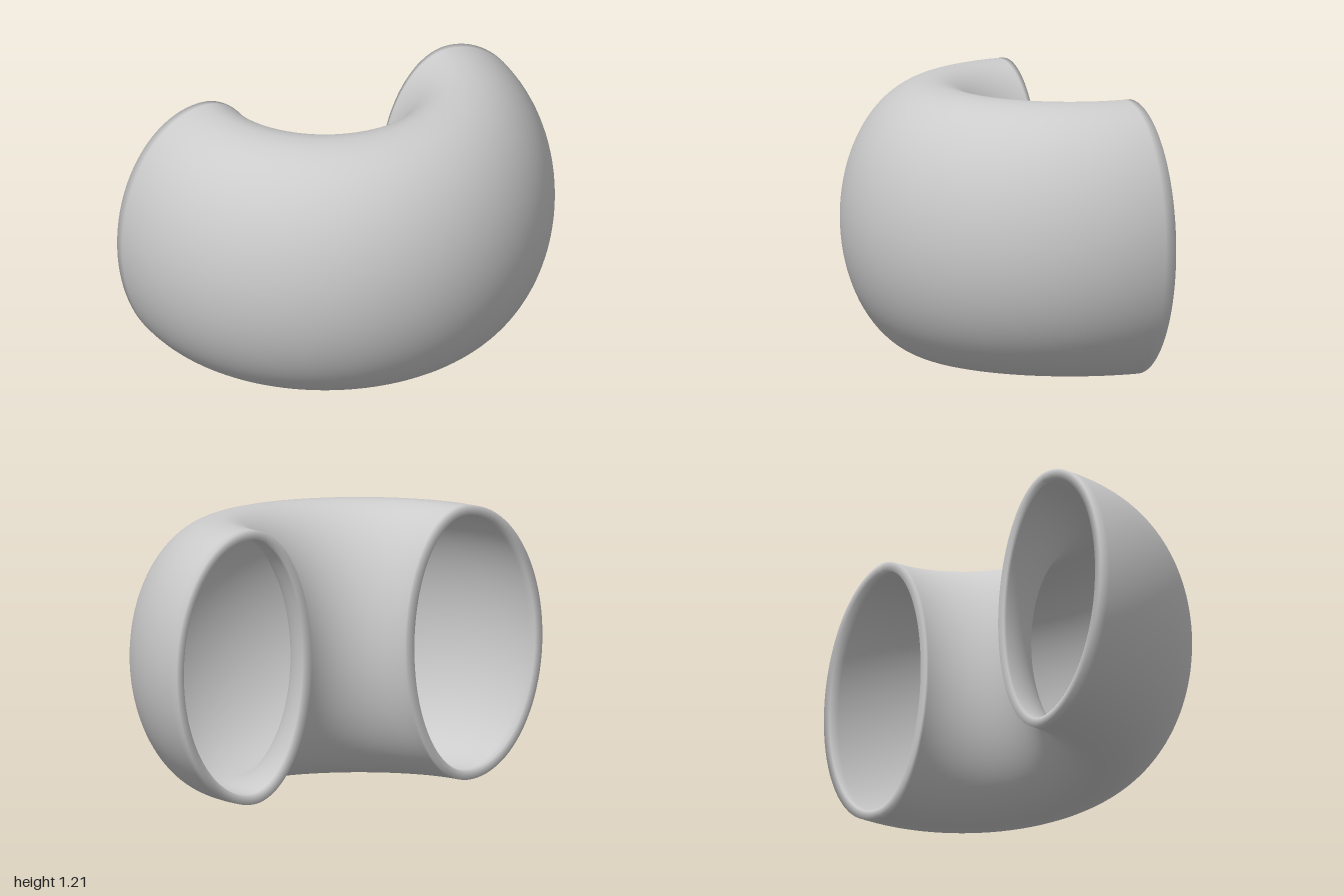
import * as THREE from 'three';

// Half-ring hollow tube: an egg-shaped section swept through 180 degrees
const SIDES = 96, STEPS = 64, WALL = 0.04;
const CENTRE = 0.59, OUT = 0.41, IN = 0.33, HALF_HEIGHT = 0.603;

// One point of the tube skin at section angle u and sweep angle t
function skinPoint(u, t, inset) {
  const c = Math.cos(u);
  const r = CENTRE + ((c > 0 ? OUT : IN) - inset) * c;
  const y = HALF_HEIGHT + (HALF_HEIGHT - inset) * Math.sin(u);
  return [r * Math.cos(t), y, -0.5 + r * Math.sin(t)];
}

// Rings run along the outer skin, then return along the inner skin,
// so the two end rims close the shell
function shellGeometry() {
  const positions = [], indices = [];
  const perSkin = STEPS + 1, rings = perSkin * 2;
  for (let k = 0; k < rings; k++) {
    const outer = k < perSkin;
    const t = Math.PI * (outer ? k : rings - 1 - k) / STEPS;
    for (let i = 0; i < SIDES; i++) {
      positions.push(...skinPoint(i / SIDES * Math.PI * 2, t, outer ? 0 : WALL));
    }
  }
  for (let k = 0; k < rings; k++) {
    const next = (k + 1) % rings;
    for (let i = 0; i < SIDES; i++) {
      const j = (i + 1) % SIDES;
      const a = k * SIDES + i, b = k * SIDES + j;
      const c = next * SIDES + j, d = next * SIDES + i;
      indices.push(a, b, d, b, c, d);
    }
  }
  const geometry = new THREE.BufferGeometry();
  geometry.setAttribute('position', new THREE.Float32BufferAttribute(positions, 3));
  geometry.setIndex(indices);
  geometry.computeVertexNormals();
  return geometry;
}

export function createModel() {
  const group = new THREE.Group();
  group.name = 'curvedPipe';
  const shell = new THREE.Mesh(shellGeometry(), new THREE.MeshStandardMaterial({ color: 0xcccccc }));
  shell.name = 'pipeShell';
  group.add(shell);
  return group;
}
